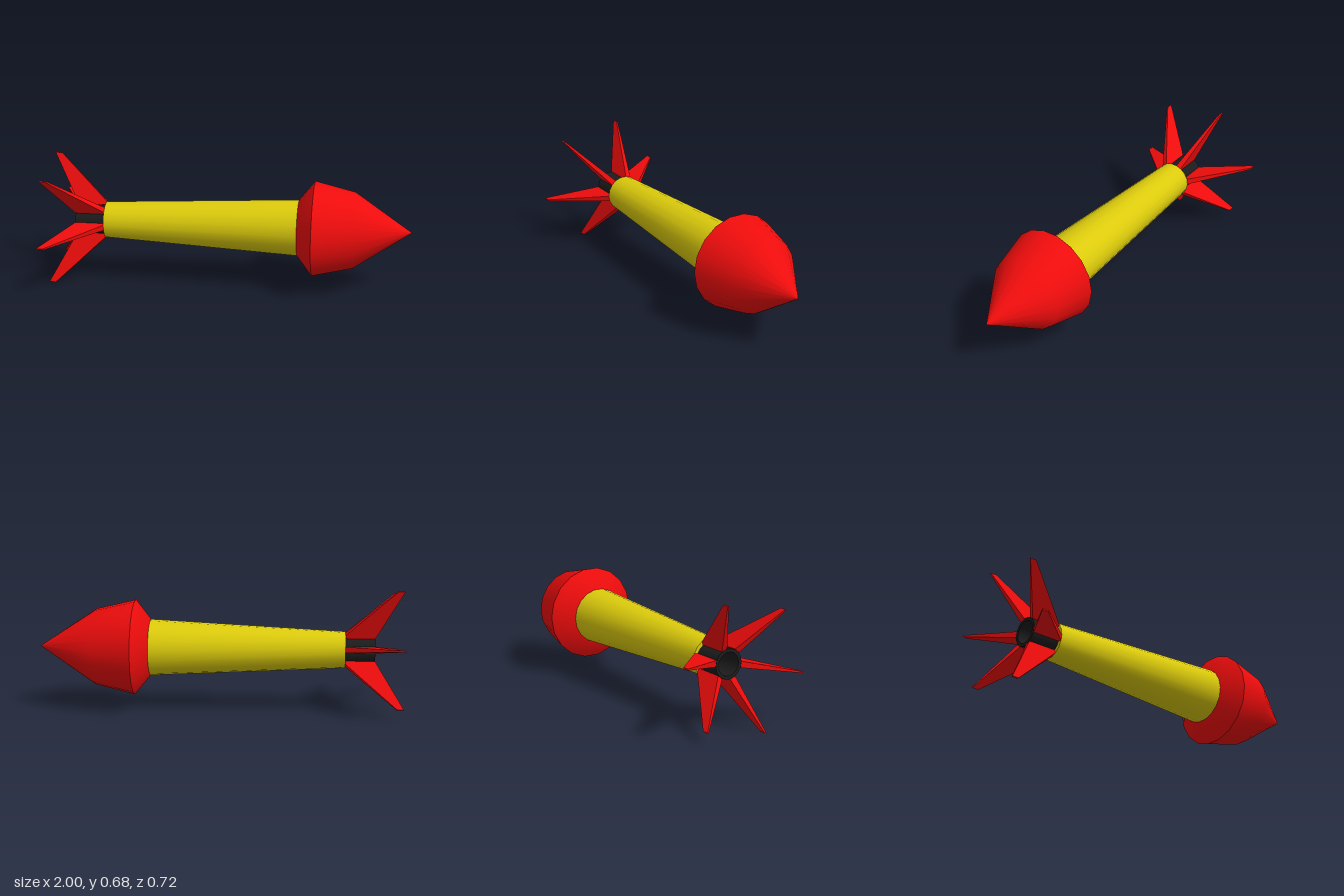
import * as THREE from 'three';
import { toCreasedNormals } from 'three/addons/utils/BufferGeometryUtils.js';

const SIDES = 18;
const red = new THREE.MeshStandardMaterial({ color: 0xee0c0c });
const yellow = new THREE.MeshStandardMaterial({ color: 0xdccb0c });
const black = new THREE.MeshStandardMaterial({ color: 0x1c1c1c });

// Turned part from [radius, position along the axis] pairs, tail to tip
function turned(name, profile, material) {
  const points = profile.map(([r, a]) => new THREE.Vector2(r, a));
  const geometry = toCreasedNormals(new THREE.LatheGeometry(points, SIDES), 0.7);
  const mesh = new THREE.Mesh(geometry, material);
  mesh.name = name;
  return mesh;
}

// Swept fin: a box tapered in chord and thickness, x radial and y along the axis
function finGeometry() {
  const root = { r: 0.08, back: -0.85, front: -0.67, half: 0.017 };
  const tip = { r: 0.363, back: -1.0, front: -0.963, half: 0.004 };
  const geometry = new THREE.BoxGeometry(1, 1, 1);
  const p = geometry.attributes.position;
  for (let i = 0; i < p.count; i++) {
    const end = p.getX(i) > 0 ? tip : root;
    p.setXYZ(i, end.r, p.getY(i) > 0 ? end.front : end.back, Math.sign(p.getZ(i)) * end.half);
  }
  geometry.computeVertexNormals();
  return geometry;
}

export function createModel() {
  const model = new THREE.Group();
  model.name = 'rocket';

  // Built upright, then laid along x
  const rocket = new THREE.Group();
  rocket.name = 'rocketAssembly';
  rocket.rotation.z = -Math.PI / 2;
  rocket.position.y = 0.346;
  model.add(rocket);

  rocket.add(
    turned('warhead', [[0, 0.38], [0.155, 0.38], [0.262, 0.465], [0.21, 0.685], [0, 0.997]], red),
    turned('body', [[0, -0.69], [0.1, -0.69], [0.155, 0.38]], yellow),
    // Hollow exhaust: inner floor, inner wall, rim, outer wall
    turned('nozzle', [[0, -0.7], [0.062, -0.7], [0.062, -0.85], [0.08, -0.85], [0.08, -0.69]], black)
  );

  // Six tail fins
  const fin = finGeometry();
  for (let i = 0; i < 6; i++) {
    const mesh = new THREE.Mesh(fin, red);
    mesh.name = `fin${i + 1}`;
    mesh.rotation.y = THREE.MathUtils.degToRad(-80 - 60 * i);
    rocket.add(mesh);
  }
  return model;
}
